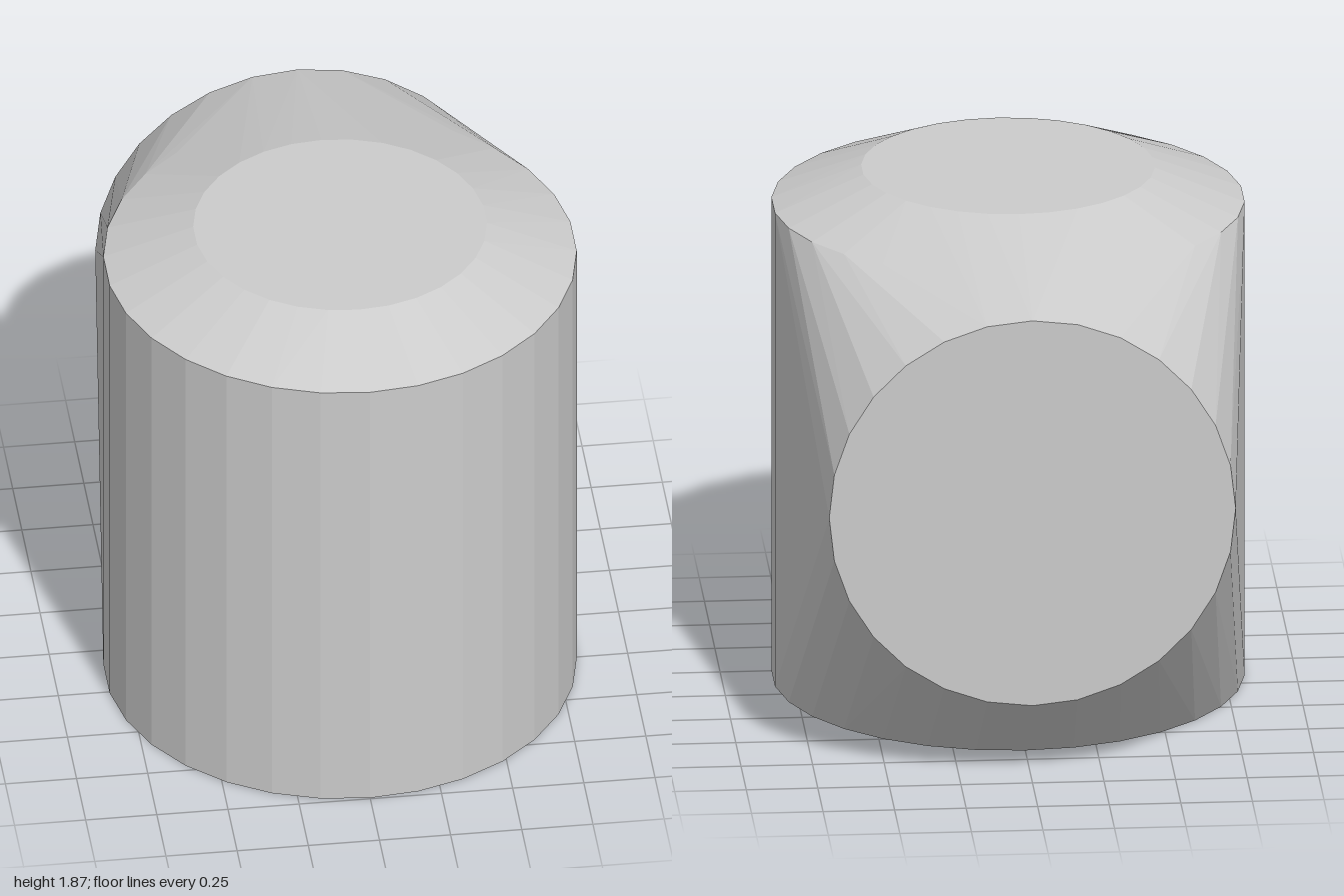
import * as THREE from 'three';
import { ConvexGeometry } from 'three/addons/geometries/ConvexGeometry.js';

// Points around a circle, placed by a function of (sideways, along)
function ring(count, radius, place) {
  return Array.from({ length: count }, (_, i) => {
    const a = (i / count) * Math.PI * 2;
    return place(Math.sin(a) * radius, Math.cos(a) * radius);
  });
}

export function createModel() {
  const group = new THREE.Group();
  group.name = 'elbowHull';
  const centreZ = 0.17;
  const level = (y) => (u, v) => new THREE.Vector3(u, y, v + centreZ);

  const points = [
    // round base
    ...ring(30, 0.825, level(0)),
    // shoulder rim, rising very slightly toward the back
    ...ring(30, 0.825, (u, v) => new THREE.Vector3(u, 1.738 + 0.01 * (0.825 - v), v + centreZ)),
    // small flat top
    ...ring(30, 0.512, level(1.87)),
    // round upright face at the back
    ...ring(28, 0.71, (u, v) => new THREE.Vector3(u, 0.995 + v, -1)),
  ];

  // One convex skin stretched over the four discs
  const body = new THREE.Mesh(
    new ConvexGeometry(points),
    new THREE.MeshStandardMaterial({ color: 0xcccccc, flatShading: true })
  );
  body.name = 'body';
  group.add(body);
  return group;
}
